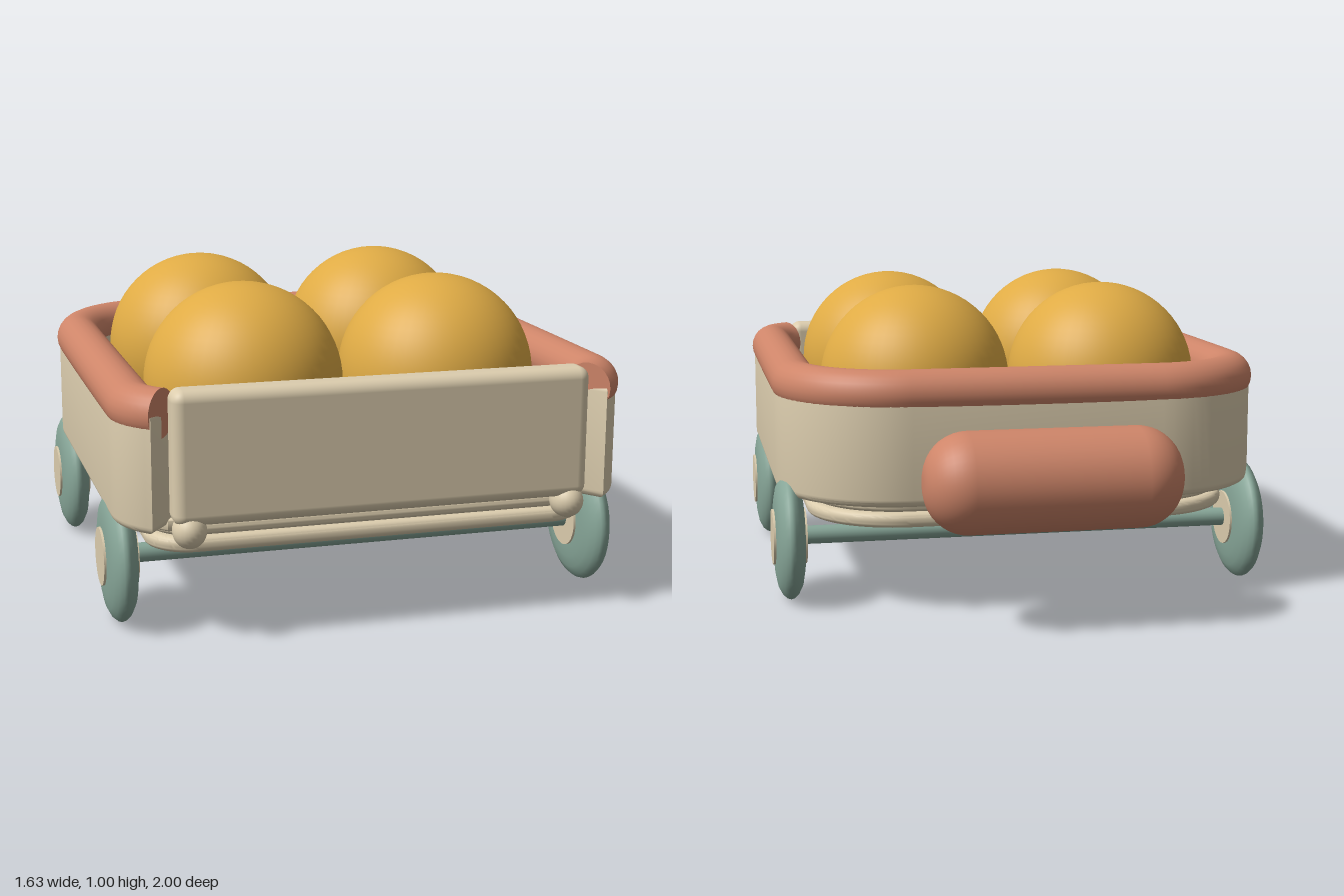
import * as THREE from 'three';
import { toCreasedNormals } from 'three/addons/utils/BufferGeometryUtils.js';
import { RoundedBoxGeometry } from 'three/addons/geometries/RoundedBoxGeometry.js';

const paint = (name, color) => {
  const m = new THREE.MeshStandardMaterial({ color });
  m.name = name;
  return m;
};

export function createModel() {
  const cream = paint('cream', 0xdccdae);
  const coral = paint('coral', 0xce8569);
  const sage = paint('sage', 0x87a698);
  const gold = paint('gold', 0xdfab45);
  const model = new THREE.Group();

  const add = (name, geometry, material, x = 0, y = 0, z = 0, parent = model) => {
    const mesh = new THREE.Mesh(geometry, material);
    mesh.name = name;
    mesh.position.set(x, y, z);
    parent.add(mesh);
    return mesh;
  };

  // U-shaped plan of the tub, moved outward by a distance; y of each point is -z
  const plan = (offset) => {
    const half = [];
    const arc = (cx, cz, r, a0, a1, n) => {
      for (let i = 0; i <= n; i++) {
        const a = THREE.MathUtils.degToRad(a0 + ((a1 - a0) * i) / n);
        half.push(new THREE.Vector2(cx + r * Math.cos(a), -(cz + r * Math.sin(a))));
      }
    };
    arc(0.56, 0.775, 0.17 + offset, 52, 0, 10);
    arc(0.40, -0.265, 0.33 + offset, 0, -90, 18);
    const mirrored = half.map((p) => new THREE.Vector2(-p.x, p.y)).reverse();
    return [...half, ...mirrored];
  };

  // Slab standing between two heights, with rounded edges
  const slab = (shape, y0, y1, bevel) => {
    const g = new THREE.ExtrudeGeometry(shape, {
      depth: y1 - y0 - 2 * bevel, bevelThickness: bevel, bevelSize: bevel,
      bevelOffset: -bevel, bevelSegments: 5, curveSegments: 16,
    });
    g.rotateX(-Math.PI / 2).translate(0, y0 + bevel, 0);
    return toCreasedNormals(g, 0.6);
  };

  // Tub wall and floor
  const wall = new THREE.Shape([...plan(0.067), ...plan(-0.07).reverse()]);
  add('tubWall', slab(wall, 0.35, 0.715, 0.025), cream);
  add('tubFloor', slab(new THREE.Shape(plan(-0.03)), 0.335, 0.375, 0.012), cream);

  // Two stacked base plates
  const plate = (w, zBack, zFront, rBack, rFront) => {
    const s = new THREE.Shape();
    s.moveTo(-w + rFront, -zFront);
    s.lineTo(w - rFront, -zFront);
    s.absarc(w - rFront, -zFront + rFront, rFront, -Math.PI / 2, 0);
    s.absarc(w - rBack, -zBack - rBack, rBack, 0, Math.PI / 2);
    s.absarc(-w + rBack, -zBack - rBack, rBack, Math.PI / 2, Math.PI);
    s.absarc(-w + rFront, -zFront + rFront, rFront, Math.PI, Math.PI * 1.5);
    return s;
  };
  add('lowerBase', slab(plate(0.7, -0.59, 0.91, 0.3, 0.14), 0.27, 0.318, 0.02), cream);
  add('upperBase', slab(plate(0.685, -0.575, 0.895, 0.29, 0.13), 0.318, 0.36, 0.018), cream);

  // Round rim along the top of the wall, with flat ends
  const rimPath = new THREE.CatmullRomCurve3(
    plan(0).map((p) => new THREE.Vector3(p.x, 0.7, -p.y)), false, 'centripetal');
  add('rim', new THREE.TubeGeometry(rimPath, 200, 0.075, 24), coral);
  for (const t of [0, 1]) {
    const end = rimPath.getPoint(t);
    const outward = rimPath.getTangent(t).multiplyScalar(t ? 1 : -1);
    const cap = add('rimEnd', new THREE.CircleGeometry(0.075, 24), coral, end.x, end.y, end.z);
    cap.lookAt(end.clone().add(outward));
  }

  // Front gate with its hinge knobs
  add('frontGate', new RoundedBoxGeometry(1.29, 0.405, 0.105, 5, 0.035), cream, 0, 0.5725, 0.928);
  for (const side of [-1, 1]) {
    const knob = add('gateKnob', new THREE.SphereGeometry(0.06, 24, 16), cream, side * 0.593, 0.353, 0.938);
    knob.scale.set(0.85, 0.9, 1);
  }

  // Handle and its mount at the back
  const handleProfile = [new THREE.Vector2(0, -0.4)];
  for (let i = 0; i <= 10; i++) {
    const a = (i / 10) * Math.PI / 2;
    handleProfile.push(new THREE.Vector2(0.02 + 0.137 * Math.sin(a), -0.263 - 0.137 * Math.cos(a)));
  }
  const farEnd = handleProfile.map((p) => new THREE.Vector2(p.x, -p.y)).reverse();
  const handle = new THREE.LatheGeometry([...handleProfile, ...farEnd], 40).rotateZ(Math.PI / 2);
  add('handle', handle, coral, 0, 0.46, -0.843);
  add('handleMount', new RoundedBoxGeometry(0.55, 0.165, 0.17, 4, 0.03), coral, 0, 0.46, -0.69);

  // Wheels with rounded tyres, hubs and axles
  const tyreProfile = [
    [0, -0.047], [0.09, -0.047], [0.13, -0.044], [0.165, -0.037], [0.19, -0.024], [0.202, -0.01],
    [0.205, 0], [0.202, 0.01], [0.19, 0.024], [0.165, 0.037], [0.13, 0.044], [0.09, 0.047], [0, 0.047],
  ].map(([r, h]) => new THREE.Vector2(r, h));
  const tyre = new THREE.LatheGeometry(tyreProfile, 40).rotateZ(Math.PI / 2);
  const hub = new THREE.CylinderGeometry(0.09, 0.09, 0.108, 32).rotateZ(Math.PI / 2);
  const axle = new THREE.CylinderGeometry(0.03, 0.03, 1.44, 20).rotateZ(Math.PI / 2);
  for (const z of [0.662, -0.338]) {
    add('axle', axle, sage, 0, 0.207, z);
    for (const side of [-1, 1]) {
      const wheel = new THREE.Group();
      wheel.name = 'wheel';
      wheel.position.set(side * 0.763, 0.205, z);
      add('tyre', tyre, sage, 0, 0, 0, wheel);
      add('hub', hub, cream, 0, 0, 0, wheel);
      model.add(wheel);
    }
  }

  // Four balls of cargo
  const ball = new THREE.SphereGeometry(0.315, 48, 32);
  for (const x of [-0.32, 0.32]) {
    for (const z of [-0.165, 0.48]) add('ball', ball, gold, x, 0.685, z);
  }
  return model;
}
